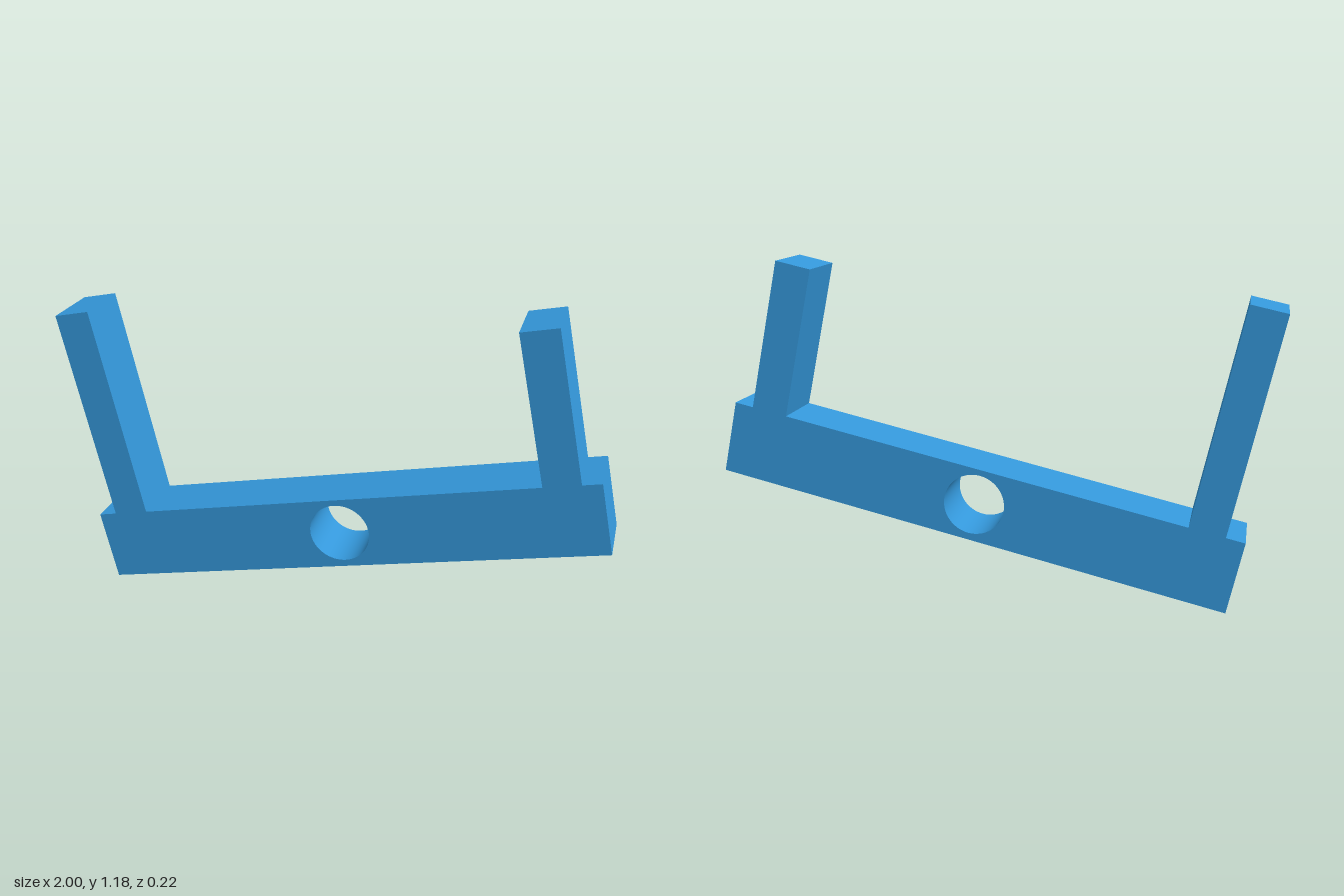
import * as THREE from 'three';
import { toCreasedNormals } from 'three/addons/utils/BufferGeometryUtils.js';

const DEPTH = 0.222;
const TILT = Math.atan2(0.395, 1.847);

export function createModel() {
  const blue = new THREE.MeshStandardMaterial({ color: 0x3498db });
  blue.name = 'blue';

  // Bracket profile in its own level frame, starting at the lower corner:
  // a bar with two uprights of different heights, each set in from the end
  const length = 1.889, height = 0.266;
  const tall = 1.056, short = 0.813;
  const profile = new THREE.Shape([
    [0, 0], [length, 0], [length, height],
    [length - 0.068, height], [length - 0.068, short],
    [length - 0.199, short], [length - 0.199, height],
    [0.198, height], [0.198, tall],
    [0.068, tall], [0.068, height], [0, height],
  ].map(([x, y]) => new THREE.Vector2(x, y)));

  // Round through hole in the middle of the bar
  const hole = new THREE.Path();
  hole.absarc(0.944, 0.135, 0.11, 0, Math.PI * 2, true);
  profile.holes.push(hole);

  const solid = new THREE.ExtrudeGeometry(profile, {
    depth: DEPTH, bevelEnabled: false, curveSegments: 32,
  });
  solid.translate(0, 0, -DEPTH / 2);
  const bracket = new THREE.Mesh(toCreasedNormals(solid, 0.5), blue);
  bracket.name = 'bracket';

  // Tip the bracket about its lower corner
  bracket.rotation.z = TILT;
  bracket.position.set(-0.847, 0, 0);

  const group = new THREE.Group();
  group.name = 'tiltedBracket';
  group.add(bracket);
  return group;
}
